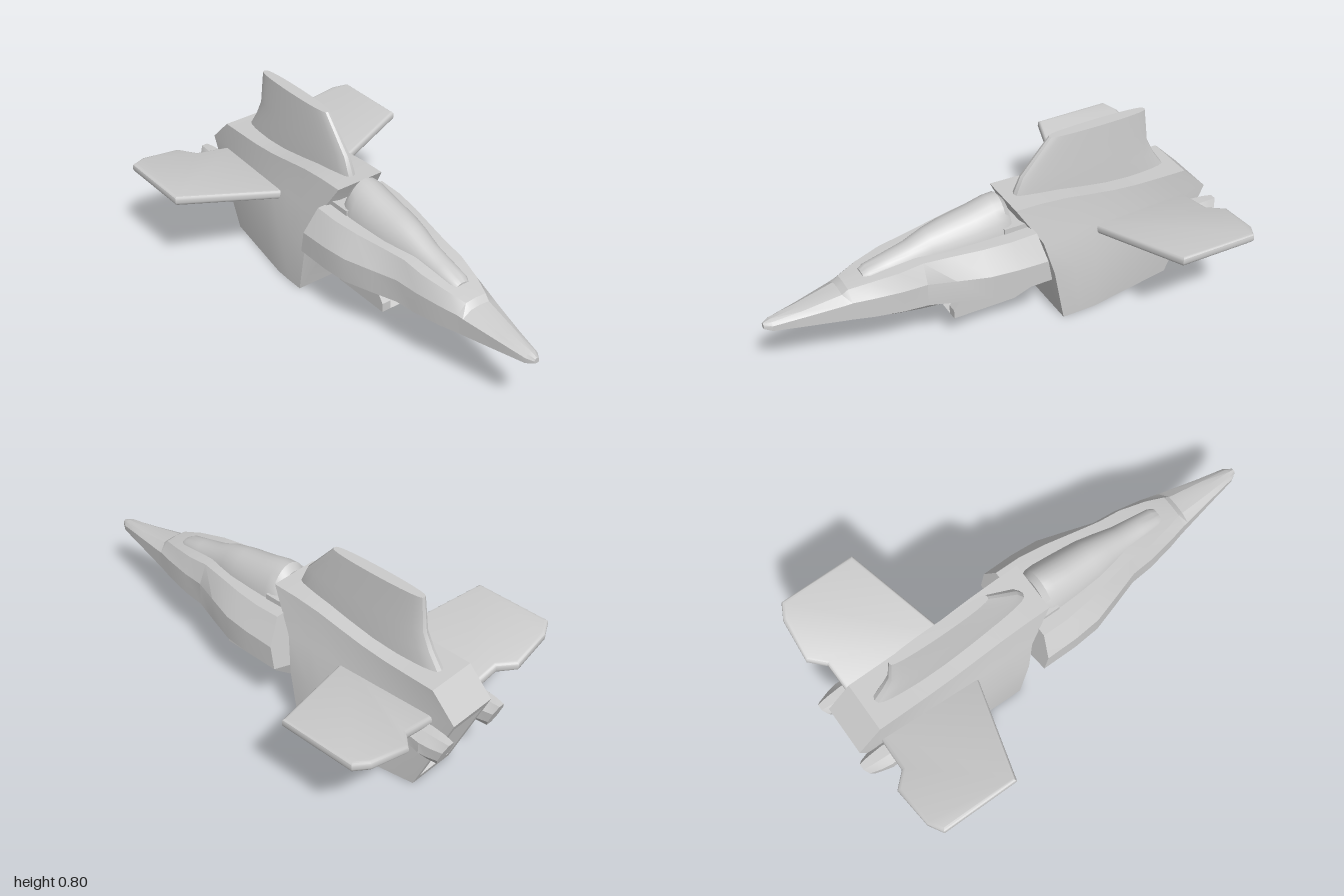
import * as THREE from 'three';
import { toCreasedNormals } from 'three/addons/utils/BufferGeometryUtils.js';

const material = new THREE.MeshStandardMaterial({ color: 0xcccccc });

function part(name, geometry, crease = 0.5) {
  const mesh = new THREE.Mesh(toCreasedNormals(geometry, crease), material);
  mesh.name = name;
  return mesh;
}

// Skin a row of equal-length closed loops and cap both ends.
// Loops run anticlockwise as seen from the end of the row.
function loft(loops) {
  const pos = [];
  const tri = (a, b, c) => {
    const [A, B, C] = [a, b, c].map((p) => new THREE.Vector3(...p));
    if (B.clone().sub(A).cross(C.clone().sub(A)).length() > 1e-8) pos.push(...a, ...b, ...c);
  };
  const n = loops[0].length;
  for (let s = 0; s < loops.length - 1; s++) {
    for (let i = 0; i < n; i++) {
      const j = (i + 1) % n, a = loops[s], b = loops[s + 1];
      tri(a[i], a[j], b[j]);
      tri(a[i], b[j], b[i]);
    }
  }
  const cap = (loop, flip) => {
    const c = [0, 1, 2].map((k) => loop.reduce((t, p) => t + p[k], 0) / n);
    loop.forEach((p, i) => {
      const q = loop[(i + 1) % n];
      flip ? tri(c, q, p) : tri(c, p, q);
    });
  };
  cap(loops[0], true);
  cap(loops[loops.length - 1], false);
  const g = new THREE.BufferGeometry();
  g.setAttribute('position', new THREE.Float32BufferAttribute(pos, 3));
  return g;
}

// Right half of a cross-section, listed bottom to top, mirrored into a loop.
const mirrorLoop = (half) => [
  ...half,
  ...half.filter((p) => p[0] !== 0).reverse().map(([x, y, z]) => [-x, y, z]),
];

function ellipse(cx, cy, z, rx, ry, n = 28, slant = 0, turn = 0) {
  return Array.from({ length: n }, (_, i) => {
    const a = (i / n) * Math.PI * 2 + turn;
    const dy = Math.sin(a) * ry;
    return [cx + Math.cos(a) * rx, cy + dy, z + slant * dy];
  });
}

// Side-view outline, given as (z, y), extruded across x.
function slab(outline, x0, x1) {
  const shape = new THREE.Shape(outline.map(([z, y]) => new THREE.Vector2(-z, y)));
  const g = new THREE.ExtrudeGeometry(shape, { depth: x1 - x0, bevelEnabled: false });
  return g.rotateY(Math.PI / 2).translate(x0, 0, 0);
}

function noseGeometry() {
  // z, half width, deck half width, bottom, low edge, shoulder, deck height
  const stations = [
    [-0.14, 0.225, 0.165, 0.245, 0.27, 0.37, 0.478],
    [0, 0.225, 0.165, 0.245, 0.27, 0.375, 0.475],
    [0.12, 0.215, 0.15, 0.25, 0.27, 0.378, 0.47],
    [0.25, 0.175, 0.125, 0.25, 0.272, 0.378, 0.465],
    [0.36, 0.14, 0.105, 0.25, 0.275, 0.378, 0.46],
    [0.46, 0.132, 0.1, 0.255, 0.277, 0.375, 0.445],
    [0.58, 0.11, 0.075, 0.262, 0.28, 0.37, 0.425],
    [0.66, 0.09, 0.05, 0.267, 0.284, 0.365, 0.405],
    [0.685, 0.085, 0.045, 0.27, 0.285, 0.36, 0.385],
    [0.85, 0.052, 0.03, 0.285, 0.295, 0.34, 0.355],
    [0.97, 0.03, 0.018, 0.3, 0.305, 0.328, 0.34],
    [1, 0.012, 0.008, 0.31, 0.313, 0.322, 0.33],
  ];
  return loft(stations.map(([z, w, wt, yb, yl, ym, yt], i) => {
    const zs = (y) => (i === 0 ? z + (y - 0.36) * 0.2 : z);
    return mirrorLoop([[0, yb], [w * 0.62, yb], [w, yl], [w, ym], [wt, yt], [0, yt + 0.004]]
      .map(([x, y]) => [x, y, zs(y)]));
  }));
}

function hullGeometry() {
  const lerp = THREE.MathUtils.lerp;
  const topLine = [0.51, 0.512, 0.515, 0.525, 0.543, 0.562, 0.572, 0.575];
  const rearZ = (y) => -0.8 - 0.425 * y;
  const body = topLine.map((yt, i) => {
    const u = i / (topLine.length - 1);
    const wide = lerp(0.11, 0.175, Math.min(1, u * 1.35));
    return mirrorLoop([
      [wide, 0, lerp(-0.8, -0.25, u)],
      [wide, 0.25, lerp(rearZ(0.25), -0.2, u)],
      [lerp(0.11, 0.145, u), 0.4, lerp(rearZ(0.4), -0.16, u)],
      [0.11, yt, lerp(-0.86, -0.05, u)],
    ]);
  });
  // Rear frame, its inner edge, and the floor of the exhaust recess
  const rear = (w, ys, depth) => mirrorLoop(ys.map((y) => [w, y, rearZ(y) + depth]));
  return loft([
    rear(0.06, [0.09, 0.23, 0.31, 0.31], 0.14),
    rear(0.085, [0.035, 0.25, 0.36, 0.36], 0),
    rear(0.11, [0, 0.25, 0.4, 0.4], 0),
    ...body,
  ]);
}

function finGeometry() {
  // y, front z, rear z, half thickness
  const levels = [[0.5, -0.08, -0.82, 0.048], [0.58, -0.1, -0.765, 0.044],
    [0.65, -0.13, -0.73, 0.038], [0.8, -0.26, -0.71, 0.026]];
  return loft(levels.map(([y, zf, zr, t]) => Array.from({ length: 32 }, (_, i) => {
    const a = (i / 32) * Math.PI * 2, c = Math.cos(a), s = Math.sin(a);
    return [t * Math.sign(c) * Math.abs(c) ** 0.6, y, (zf + zr) / 2 - s * (zf - zr) / 2];
  })));
}

function wingGeometry(side) {
  const b = 0.015;
  const outline = [[0.09, -0.42], [0.56, -0.555], [0.56, -0.875], [0.505, -0.905],
    [0.33, -0.92], [0.27, -0.86], [0.09, -0.855]];
  const shape = new THREE.Shape(outline.map(([x, z]) => new THREE.Vector2(side * x, -z)));
  const g = new THREE.ExtrudeGeometry(shape, {
    depth: 0.012, bevelThickness: b, bevelSize: b, bevelSegments: 3,
  });
  g.rotateX(-Math.PI / 2).translate(0, 0.343, 0);
  // Raise the slab toward its tip
  const p = g.attributes.position;
  for (let i = 0; i < p.count; i++) p.setY(i, p.getY(i) + Math.abs(p.getX(i)) * 0.18);
  return g;
}

export function createModel() {
  const model = new THREE.Group();
  model.name = 'spacecraft';

  // Fuselage
  model.add(part('noseFuselage', noseGeometry(), 0.4));
  model.add(part('rearHull', hullGeometry(), 0.4));
  model.add(part('neck', new THREE.BoxGeometry(0.22, 0.27, 0.26).translate(0, 0.365, -0.13)));

  // Canopy: z, half width, top
  const canopy = [[-0.045, 0.1, 0.575], [-0.02, 0.11, 0.603], [0.02, 0.112, 0.6],
    [0.1, 0.108, 0.578], [0.22, 0.098, 0.555], [0.3, 0.082, 0.535], [0.38, 0.066, 0.5],
    [0.48, 0.055, 0.472], [0.56, 0.045, 0.45], [0.585, 0.032, 0.435]];
  model.add(part('canopy', loft(canopy.map(([z, w, top]) =>
    ellipse(0, 0.42, z, w, top - 0.42, 32))), 0.6));

  // Chin pod: z, radius, bottom
  const chin = [[0.155, 0.09, 0.2], [0.18, 0.108, 0.178], [0.225, 0.11, 0.163],
    [0.36, 0.102, 0.178], [0.48, 0.088, 0.195], [0.56, 0.066, 0.223], [0.62, 0.056, 0.238],
    [0.77, 0.046, 0.255], [0.8, 0.036, 0.266]];
  model.add(part('chinPod', loft(chin.map(([z, r, bottom]) =>
    ellipse(0, 0.285, z, r, 0.285 - bottom, 32))), 0.6));

  // Belly scoop: two cheeks and a ramp between them
  const cheek = [[0.23, 0.13], [0.23, 0.17], [0.16, 0.27], [-0.25, 0.27], [-0.21, 0.19], [-0.05, 0.13]];
  model.add(part('scoopCheekLeft', slab(cheek, 0.065, 0.106)));
  model.add(part('scoopCheekRight', slab(cheek, -0.106, -0.065)));
  model.add(part('scoopRamp', slab(
    [[0.23, 0.13], [0.05, 0.19], [0, 0.27], [-0.25, 0.27], [-0.21, 0.19], [-0.05, 0.13]], -0.065, 0.065)));

  // Tail fin
  model.add(part('tailFin', finGeometry(), 0.5));

  // Wings and side thrusters
  for (const [side, label] of [[1, 'Left'], [-1, 'Right']]) {
    model.add(part('wing' + label, wingGeometry(side), 0.6));
    // z, half width, half height, centre height
    const thruster = [[-0.97, 0.032, 0.06, 0.297], [-0.925, 0.046, 0.062, 0.3],
      [-0.885, 0.055, 0.06, 0.305], [-0.83, 0.05, 0.052, 0.312], [-0.8, 0.055, 0.055, 0.315],
      [-0.7, 0.05, 0.045, 0.318]];
    model.add(part('thruster' + label, loft(thruster.map(([z, rx, ry, cy], i) =>
      ellipse(side * 0.15, cy, z, rx * 1.08, ry * 1.08, 8, i < 2 ? -0.4 : 0, Math.PI / 8))), 0.3));
  }
  return model;
}
